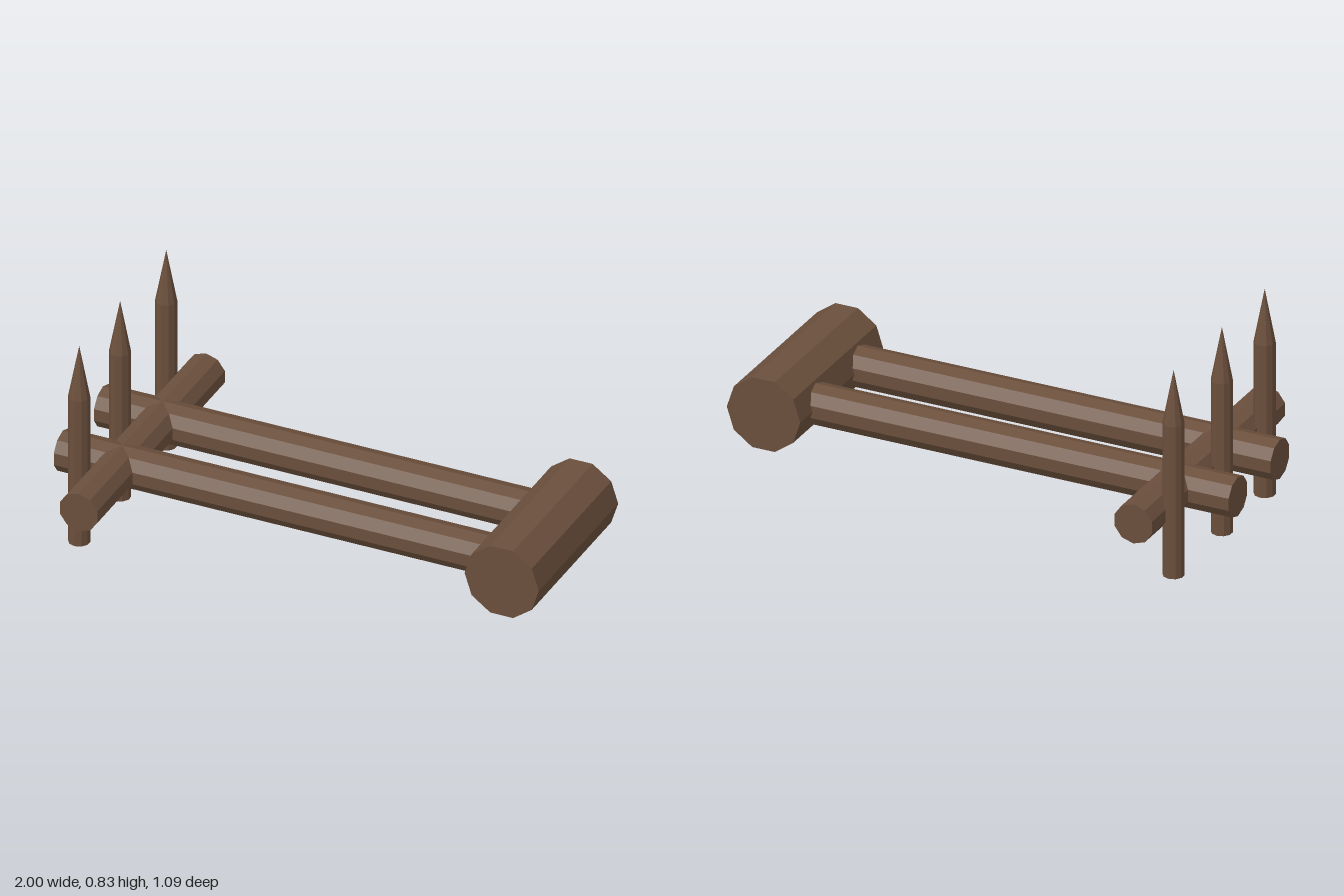
import * as THREE from 'three';

const SIDES = 10;
const wood = new THREE.MeshStandardMaterial({ color: 0x6b4f3c, flatShading: true });

// Ten-sided log lying along the x or z axis, spanning from..to
function log(name, axis, radius, from, to, start) {
  const geo = new THREE.CylinderGeometry(radius, radius, to - from, SIDES, 1, false, start);
  if (axis === 'x') geo.rotateZ(Math.PI / 2);
  else geo.rotateX(Math.PI / 2);
  const mesh = new THREE.Mesh(geo, wood);
  mesh.name = name;
  mesh.position[axis] = (from + to) / 2;
  return mesh;
}

// Upright stake: straight shaft and a long sharpened point
function stake(z) {
  const group = new THREE.Group();
  group.name = 'stake';
  const shaftHeight = 0.62, tipHeight = 0.215, radius = 0.041;

  const shaft = new THREE.Mesh(new THREE.CylinderGeometry(radius, radius, shaftHeight, SIDES), wood);
  shaft.name = 'stakeShaft';
  shaft.position.y = shaftHeight / 2;

  const tip = new THREE.Mesh(new THREE.ConeGeometry(radius, tipHeight, SIDES, 1, true), wood);
  tip.name = 'stakePoint';
  tip.position.y = shaftHeight + tipHeight / 2;

  group.add(shaft, tip);
  group.position.set(-0.848, 0, z);
  return group;
}

export function createModel() {
  const model = new THREE.Group();
  model.name = 'logRam';

  // Two long parallel beams
  for (const z of [0.17, -0.174]) {
    const beam = log('longBeam', 'x', 0.08, -1, 0.8, Math.PI / 2);
    beam.position.y = 0.253;
    beam.position.z = z;
    model.add(beam);
  }

  // Cross beam near the stakes
  const cross = log('crossBeam', 'z', 0.08, -0.545, 0.545, 0);
  cross.position.x = -0.758;
  cross.position.y = 0.253;
  model.add(cross);

  // Thick log across the far end
  const head = log('headLog', 'z', 0.15, -0.35, 0.33, Math.PI / 2);
  head.position.x = 0.85;
  head.position.y = 0.255;
  model.add(head);

  // Row of sharpened stakes
  for (const z of [0.35, 0, -0.395]) model.add(stake(z));

  return model;
}
